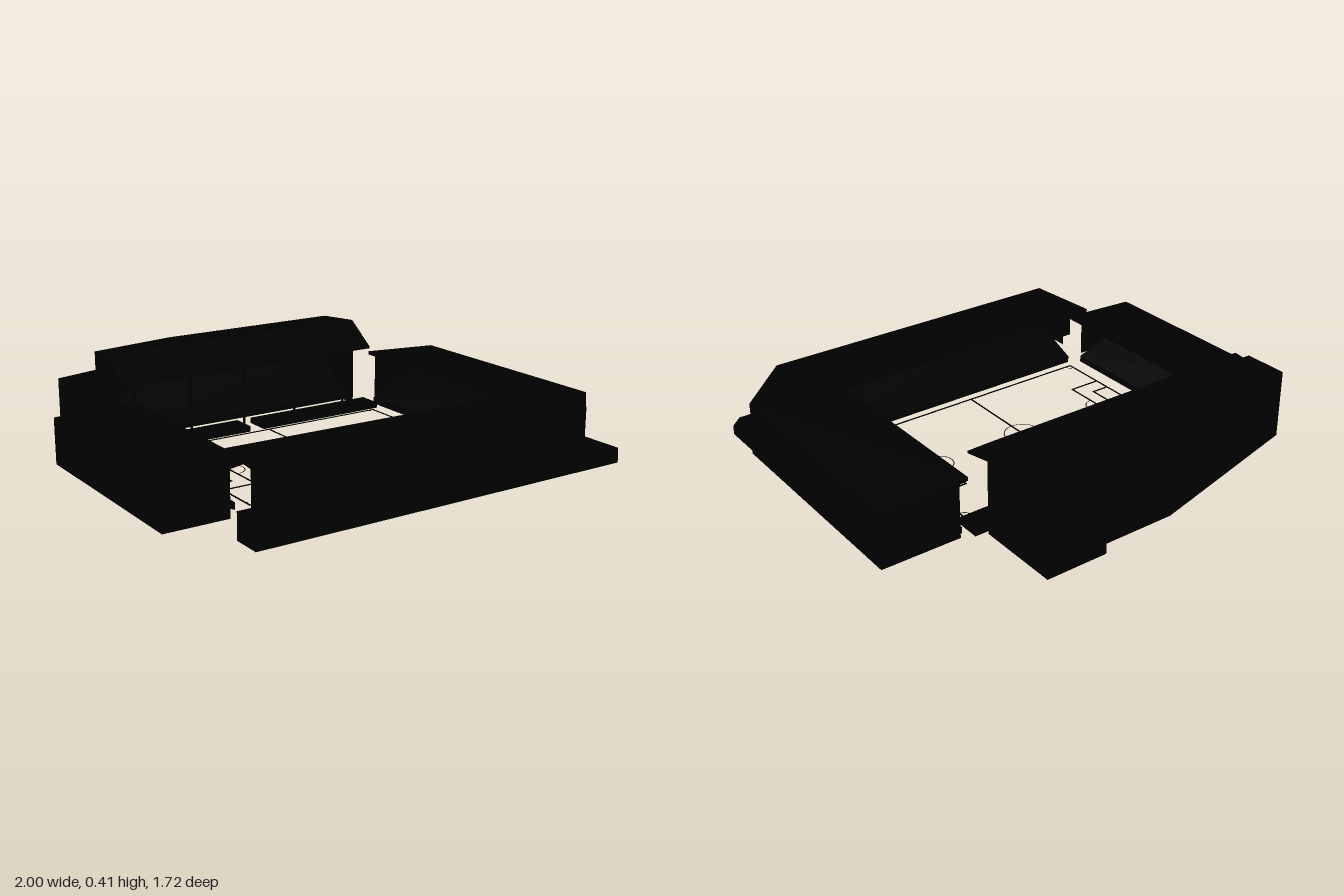
import * as THREE from 'three';

const dark = new THREE.MeshStandardMaterial({ color: 0x000000, side: THREE.DoubleSide });

export function createModel() {
  const model = new THREE.Group();
  let parent = model;

  const group = (name) => {
    parent = new THREE.Group();
    parent.name = name;
    model.add(parent);
  };
  const add = (name, geo) => {
    const mesh = new THREE.Mesh(geo, dark);
    mesh.name = name;
    parent.add(mesh);
    return mesh;
  };
  // Box given by its limits
  const box = (name, x0, x1, y0, y1, z0, z1) =>
    add(name, new THREE.BoxGeometry(x1 - x0, y1 - y0, z1 - z0)
      .translate((x0 + x1) / 2, (y0 + y1) / 2, (z0 + z1) / 2));
  // Flat outline whose 2D corners are mapped into space
  const face = (name, pts, map) => {
    const geo = new THREE.ShapeGeometry(new THREE.Shape(pts.map(([a, b]) => new THREE.Vector2(a, b))));
    const p = geo.attributes.position;
    for (let i = 0; i < p.count; i++) p.setXYZ(i, ...map(p.getX(i), p.getY(i)));
    geo.computeVertexNormals();
    add(name, geo);
  };
  // Quad strip between a lower and an upper path
  const strip = (name, low, high) => {
    const pos = [];
    for (let i = 0; i + 1 < low.length; i++) {
      pos.push(...low[i], ...low[i + 1], ...high[i + 1], ...low[i], ...high[i + 1], ...high[i]);
    }
    const geo = new THREE.BufferGeometry();
    geo.setAttribute('position', new THREE.Float32BufferAttribute(pos, 3));
    geo.computeVertexNormals();
    add(name, geo);
  };
  // Upright wall along an x, z path
  const wall = (name, path, y0, y1) =>
    strip(name, path.map(([x, z]) => [x, y0, z]), path.map(([x, z]) => [x, y1, z]));
  // Sloping seating slab with an upright front edge
  const seating = (x, z, turn, run, y0, y1, length) => {
    const s = new THREE.Shape([[0, 0], [run, y1 - 0.02], [run, y1], [0, y0]]
      .map(([a, b]) => new THREE.Vector2(a, b)));
    const mesh = add('seating', new THREE.ExtrudeGeometry(s, { depth: length, bevelEnabled: false }));
    mesh.position.set(x, 0, z);
    mesh.rotation.y = turn;
  };

  // Pitch markings
  group('pitchMarkings');
  const L = -0.59, R = 0.56, N = -0.34, S = 0.45, cx = -0.015, cz = 0.055;
  const line = (x0, z0, x1, z1) => {
    const t = 0.003;
    box('pitchLine', Math.min(x0, x1) - t, Math.max(x0, x1) + t, 0, 0.003, Math.min(z0, z1) - t, Math.max(z0, z1) + t);
  };
  const arc = (x, z, r, start = 0, sweep = Math.PI * 2) =>
    add('pitchArc', new THREE.RingGeometry(r - 0.002, r + 0.002, 40, 1, start, sweep)
      .rotateX(-Math.PI / 2).translate(x, 0.003, z));
  for (const z of [N, S]) line(L, z, R, z);
  for (const x of [L, cx, R]) line(x, N, x, S);
  arc(cx, cz, 0.08);
  arc(cx, cz, 0.005);
  for (const [x, d] of [[L, 1], [R, -1]]) {
    for (const [depth, half] of [[0.145, 0.195], [0.08, 0.12]]) {
      line(x + d * depth, cz - half, x + d * depth, cz + half);
      for (const k of [-1, 1]) line(x, cz + k * half, x + d * depth, cz + k * half);
    }
    arc(x + d * 0.113, cz, 0.003);
    arc(x + d * 0.145, cz, 0.06, d > 0 ? -Math.PI / 2 : Math.PI / 2, Math.PI);
  }
  [[L, S], [R, S], [R, N], [L, N]].forEach(([x, z], q) =>
    arc(x, z, 0.03, q * Math.PI / 2, Math.PI / 2));

  // Front and left stands joined round a chamfered corner
  group('cornerStand');
  const inner = [[-0.71, 0.255, 0.48], [0.58, 0.245, 0.48], [0.61, 0.245, 0.45], [0.61, 0.255, -0.45]];
  const outer = [[-0.71, 0.235, 0.855], [0.735, 0.235, 0.855], [0.99, 0.235, 0.6], [0.99, 0.235, -0.45]];
  const drop = (path) => path.map(([x, y, z]) => [x, y - 0.015, z]);
  strip('roof', outer, inner);
  strip('roofUnderside', drop(outer), drop(inner));
  strip('roofFascia', drop(inner), inner);
  strip('outerWall', outer.map(([x, , z]) => [x, 0, z]), outer);
  box('lowerOuterWall', 0.98, 1, 0, 0.17, -0.45, 0.6);
  const plinth = [[0.735, 0.855], [0.935, 0.855], [0.99, 0.8], [0.99, 0.6]];
  wall('cornerPlinthSide', plinth, 0, 0.04);
  face('cornerPlinthTop', plinth, (x, z) => [x, 0.04, z]);
  face('frontStandEnd', [[0.66, 0], [0.855, 0], [0.855, 0.235], [0.48, 0.255], [0.48, 0.24], [0.66, 0.225]],
    (z, y) => [-0.71, y, z]);
  face('leftStandEnd', [[0.65, 0], [0.99, 0], [0.99, 0.235], [0.61, 0.255], [0.61, 0.24], [0.65, 0.235]],
    (x, y) => [x, y, -0.45]);
  box('sideBlock', -0.81, -0.71, 0, 0.11, 0.73, 0.855);
  seating(0.76, 0.49, -Math.PI / 2, 0.34, 0.03, 0.17, 1.37);
  seating(0.63, -0.43, 0, 0.34, 0.03, 0.17, 1.05);

  // Right stand
  group('rightStand');
  const w0 = -0.41, w1 = 0.53;
  strip('roof', [[-1, 0.2, w0], [-1, 0.2, w1]], [[-0.65, 0.215, w0], [-0.65, 0.215, w1]]);
  strip('roofUnderside', [[-1, 0.185, w0], [-1, 0.185, w1]], [[-0.65, 0.2, w0], [-0.65, 0.2, w1]]);
  wall('roofFascia', [[-0.65, w0], [-0.65, w1]], 0.2, 0.215);
  wall('outerWall', [[-1, w0], [-1, w1]], 0, 0.2);
  for (const z of [w0, w1]) {
    face('endWall', [[-1, 0], [-0.72, 0], [-0.72, 0.19], [-0.65, 0.2], [-0.65, 0.215], [-1, 0.2]],
      (x, y) => [x, y, z]);
  }
  seating(-0.66, 0.46, Math.PI, 0.31, 0.03, 0.14, 0.84);

  // Tall main stand along the back
  group('mainStand');
  const back = [[0.55, -0.86], [0.275, -0.86], [0.275, -0.81], [-0.09, -0.81], [-0.89, -0.61], [-0.89, -0.41]];
  wall('outerWall', [...back, [-0.71, -0.41], [-0.71, -0.63]], 0, 0.305);
  face('lowerRoof', [...back, [-0.71, -0.41], [-0.71, -0.63], [-0.3, -0.73], [0.55, -0.73]],
    (x, z) => [x, 0.305, z]);
  const rearY = (z) => 0.405 + 0.087 * (z + 0.5);
  const rear = [[0.55, -0.73], [-0.3, -0.73], [-0.71, -0.63]];
  face('rearRoof', [[0.55, -0.5], ...rear, [-0.71, -0.5]], (x, z) => [x, rearY(z), z]);
  strip('upperRearWall', rear.map(([x, z]) => [x, 0.305, z]), rear.map(([x, z]) => [x, rearY(z), z]));
  const across = (y, z) => [[-0.71, y, z], [0.55, y, z]];
  strip('frontRoof', across(0.305, -0.36), across(0.405, -0.5));
  strip('roofFascia', across(0.295, -0.36), across(0.305, -0.36));
  strip('roofUnderside', across(0.295, -0.36), across(0.32, -0.49));
  face('innerCeiling', [[0.55, -0.49], ...rear, [-0.71, -0.49]], (x, z) => [x, 0.32, z]);
  const head = [[-0.5, 0.405], [-0.36, 0.305], [-0.36, 0.295], [-0.49, 0.32]];
  face('leftEndWall', [[-0.49, 0], [-0.86, 0], [-0.86, 0.305], [-0.73, 0.305], [-0.73, 0.385], ...head],
    (z, y) => [0.55, y, z]);
  face('rightEndWall', [[-0.49, 0], [-0.63, 0], [-0.63, rearY(-0.63)], ...head],
    (z, y) => [-0.71, y, z]);
  seating(-0.7, -0.57, Math.PI / 2, 0.15, 0.03, 0.2, 1.24);
  for (const [x0, x1] of [[-0.65, -0.1], [-0.03, 0.6]]) box('frontTerrace', x0, x1, 0, 0.025, -0.475, -0.36);
  for (let i = 0; i < 5; i++) {
    const x = -0.6 + i * 0.27;
    box('roofColumn', x - 0.004, x + 0.004, 0, 0.32, -0.484, -0.476);
  }
  return model;
}
